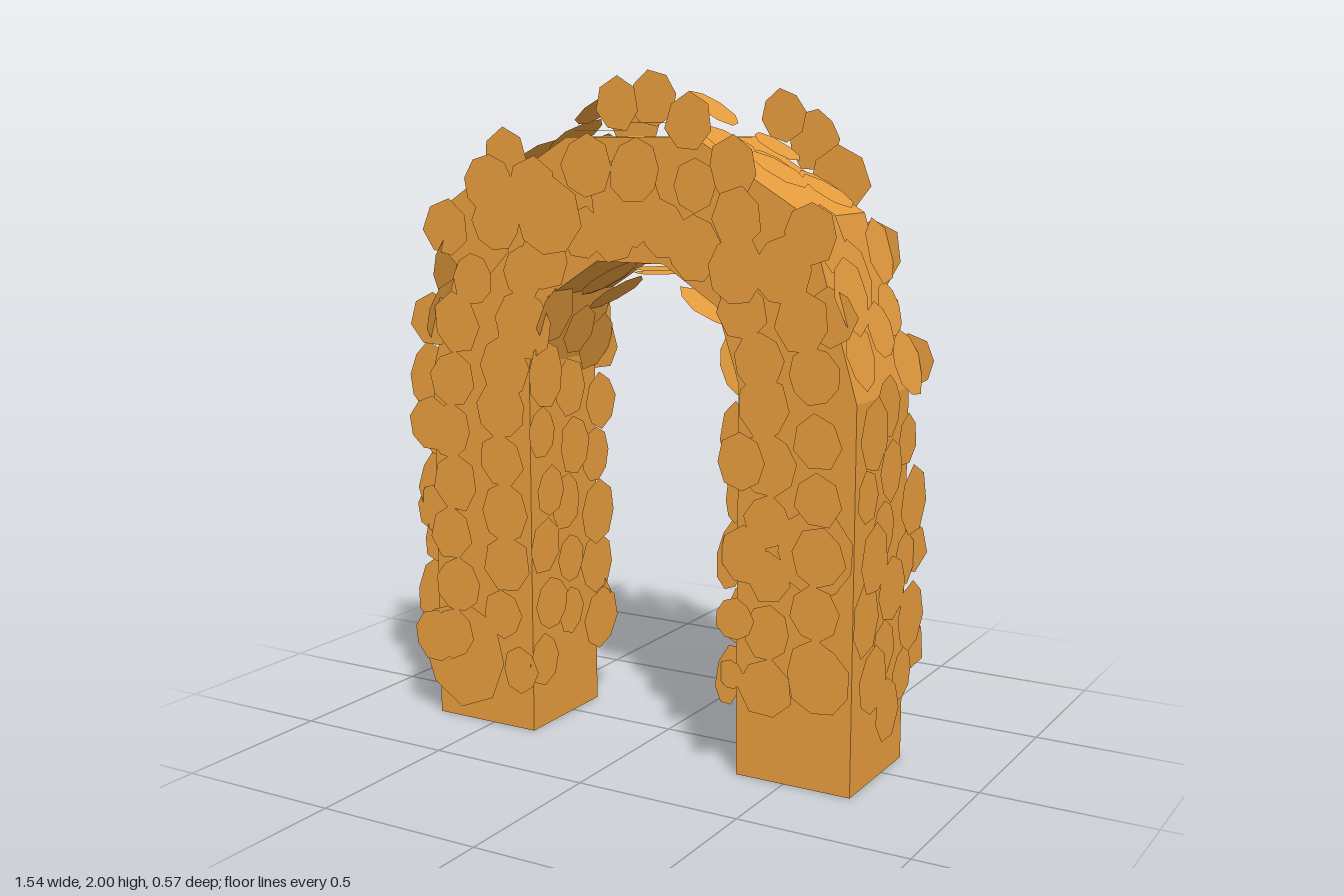
import * as THREE from 'three';

export function createModel() {
  const group = new THREE.Group();
  group.name = 'leafyArch';
  const ochre = new THREE.MeshStandardMaterial({ color: 0xe69c3d, side: THREE.DoubleSide });
  ochre.name = 'ochre';

  let seed = 11;
  const rand = () => {
    seed = (seed * 16807) % 2147483647;
    return seed / 2147483647;
  };

  // Solid arch: angular outer and inner outlines, extruded in depth
  const BACK = -0.14, FRONT = 0.22;
  const mirror = (half) => [...half.map(([x, y]) => [-x, y]), ...half.slice().reverse()];
  const outer = mirror([[0.705, 0], [0.705, 1.1], [0.56, 1.59], [0.21, 1.8]]);
  const inner = mirror([[0.35, 0], [0.35, 1.13], [0.28, 1.34], [0.11, 1.45]]);
  const outline = new THREE.Shape(
    [...outer, ...inner.slice().reverse()].map(([x, y]) => new THREE.Vector2(x, y)));
  const arch = new THREE.Mesh(
    new THREE.ExtrudeGeometry(outline, { depth: FRONT - BACK, bevelEnabled: false }), ochre);
  arch.position.z = BACK;
  arch.name = 'arch';
  group.add(arch);

  // One flat, slightly irregular leaf lying parallel to a face of the arch
  function addLeaf(parent, x, y, z, r, nx, ny, nz) {
    const geometry = new THREE.CircleGeometry(r, 7 + Math.floor(rand() * 3));
    const p = geometry.attributes.position;
    for (let i = 2; i < p.count - 1; i++) {
      const k = 0.88 + rand() * 0.14;
      p.setXY(i, p.getX(i) * k, p.getY(i) * k);
    }
    const leaf = new THREE.Mesh(geometry, ochre);
    leaf.name = 'leaf';
    leaf.position.set(x, y, z);
    leaf.lookAt(x + nx, y + ny, z + nz);
    leaf.rotateZ(Math.PI / 2 + (rand() - 0.5) * 0.4);
    leaf.scale.y = 0.9 + rand() * 0.1;
    parent.add(leaf);
  }
  const cluster = (name) => {
    const g = new THREE.Group();
    g.name = name;
    group.add(g);
    return g;
  };
  const frontLeaves = cluster('frontLeaves');
  const backLeaves = cluster('backLeaves');
  const layer = (i) => 0.018 + 0.02 * (i % 2) + 0.0004 * (i % 7);

  const onFront = ([x, y, r], i) => addLeaf(frontLeaves, x, y, FRONT + layer(i), r, 0, 0, 1);
  const onBack = ([x, y, r], i) => addLeaf(backLeaves, x, y, BACK - layer(i), r, 0, 0, -1);

  // Front leaves, mostly overhanging the outline: x, y, radius
  [
    [-0.03, 1.89, 0.08], [0.21, 1.84, 0.085], [-0.41, 1.74, 0.09], [-0.62, 1.53, 0.09],
    [-0.53, 1.52, 0.135], [-0.46, 1.66, 0.09], [-0.69, 1.25, 0.085], [-0.69, 0.93, 0.09],
    [-0.69, 0.66, 0.085], [-0.69, 0.26, 0.085], [-0.6, 0.21, 0.17], [0.58, 1.55, 0.085],
    [0.63, 1.33, 0.085], [0.38, 0.92, 0.085], [0.38, 0.65, 0.09], [0.36, 0.47, 0.065],
    [-0.36, 1.25, 0.11], [-0.37, 0.2, 0.075], [0.34, 0.3, 0.045], [-0.25, 1.57, 0.12],
    [0, 1.62, 0.13], [0.36, 1.45, 0.1], [0.6, 0.68, 0.13], [0.62, 0.34, 0.11],
    [0.34, 1.72, 0.09],
  ].forEach(onFront);

  // Back leaves that overhang the outline
  [
    [-0.15, 1.91, 0.09], [-0.22, 1.83, 0.09], [0.29, 1.86, 0.08], [0.38, 1.79, 0.09],
    [0.47, 1.68, 0.1], [-0.47, 1.71, 0.09], [-0.03, 1.83, 0.08], [0.69, 1.17, 0.08],
    [0.69, 0.64, 0.09], [0.66, 0.33, 0.11], [-0.38, 0.35, 0.08], [-0.62, 0.36, 0.11],
    [0.58, 1.47, 0.1], [-0.6, 1.46, 0.1], [0.38, 1.2, 0.09], [-0.36, 1.15, 0.08],
    [0.37, 0.85, 0.08], [-0.66, 0.85, 0.09],
  ].forEach(onBack);

  // Dense filling leaves zigzagging along the middle of both faces
  const middle = outer.map(([x, y], i) => [(x + inner[i][0]) / 2, (y + inner[i][1]) / 2]);
  for (const place of [onFront, onBack]) {
    for (let s = 0, n = 0; s < middle.length - 1; s++) {
      const [ax, ay] = middle[s], [bx, by] = middle[s + 1];
      const len = Math.hypot(bx - ax, by - ay);
      const count = Math.round(len / 0.08);
      for (let i = 0; i < count; i++, n++) {
        const t = (i + 0.5) / count;
        const y = ay + (by - ay) * t;
        if (y < 0.24) continue;
        const off = (n % 2 ? 1 : -1) * (0.07 + rand() * 0.03);
        place([ax + (bx - ax) * t - (by - ay) / len * off, y + (bx - ax) / len * off,
          0.075 + rand() * 0.025], n);
      }
    }
  }

  // Leaves along the outer and inner surfaces, swaying between front and back edge
  function cover(path, side, parent, spacing, size) {
    let n = 0;
    for (let s = 0; s < path.length - 1; s++) {
      const [ax, ay] = path[s], [bx, by] = path[s + 1];
      const len = Math.hypot(bx - ax, by - ay);
      const nx = (-(by - ay) / len) * side, ny = ((bx - ax) / len) * side;
      const sway = Math.abs(ny) > 0.6 ? 0.7 : 1;
      const count = Math.max(2, Math.round(len / spacing));
      for (let i = 0; i < count; i++, n++) {
        let t = (i + 0.5) / count;
        if (ay === 0) t = 0.17 + 0.83 * t;
        else if (by === 0) t = 0.83 * t;
        else t = 0.08 + 0.84 * t;
        const z = 0.04 + sway * ([0.14, -0.14, 0.01][n % 3] + (rand() - 0.5) * 0.04);
        const d = layer(n);
        addLeaf(parent, ax + (bx - ax) * t + nx * d, ay + (by - ay) * t + ny * d, z,
          size * (0.85 + rand() * 0.35), nx, ny, 0);
      }
    }
  }
  cover(outer, 1, cluster('outerLeaves'), 0.068, 0.092);
  cover(inner, -1, cluster('innerLeaves'), 0.07, 0.088);

  // Leaves on the crown, some reaching out past the back edge
  const crown = cluster('crownLeaves');
  for (const [x, z, r] of [[-0.13, -0.2, 0.085], [0.1, -0.14, 0.09], [0.11, 0.12, 0.1], [-0.18, 0.13, 0.08]]) {
    addLeaf(crown, x, 1.832, z, r, 0, 1, 0);
  }

  // Leaves on the shoulders that stand past the corners of the crown
  const slope = new THREE.Vector2(0.35, 0.25).normalize();
  for (const side of [-1, 1]) {
    addLeaf(crown, side * 0.15, 1.88, side < 0 ? 0.14 : 0, 0.088, side * slope.y, slope.x, 0);
  }
  return group;
}
